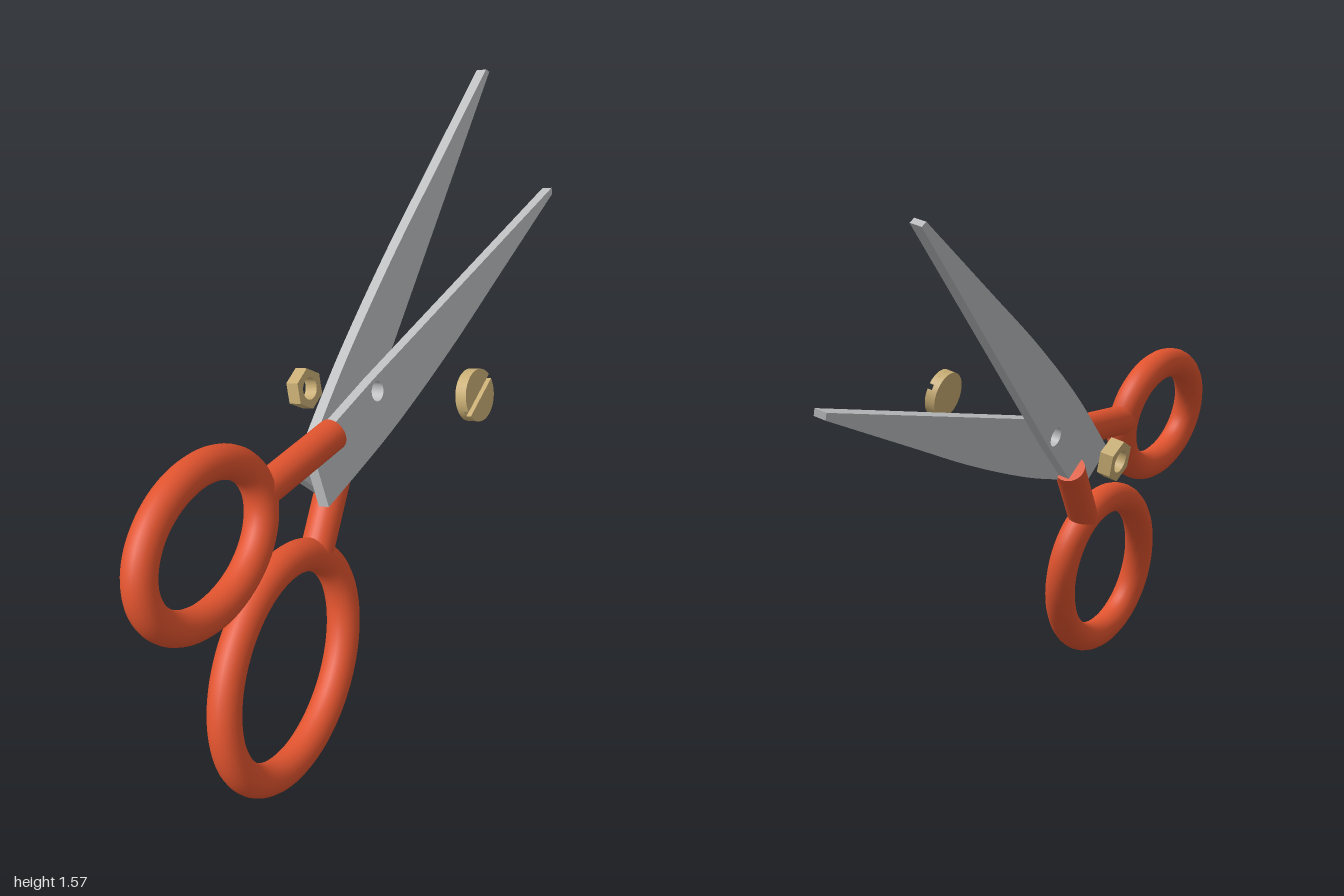
import * as THREE from 'three';

const material = (name, color) => {
  const m = new THREE.MeshStandardMaterial({ color });
  m.name = name;
  return m;
};

export function createModel() {
  const red = material('orangeRed', 0xe0532e);
  const steel = material('steel', 0xbcbec0);
  const brass = material('brass', 0xc8ad74);
  const THICK = 0.037;
  const deg = Math.PI / 180;

  const add = (parent, name, geometry, mat) => {
    const mesh = new THREE.Mesh(geometry, mat);
    mesh.name = name;
    parent.add(mesh);
    return mesh;
  };
  const group = (parent, name) => {
    const g = new THREE.Group();
    g.name = name;
    parent.add(g);
    return g;
  };
  const extrude = (shape, depth, curveSegments = 24) =>
    new THREE.ExtrudeGeometry(shape, { depth, bevelEnabled: false, curveSegments });
  const circleHole = (r) => new THREE.Path().absarc(0, 0, r, 0, Math.PI * 2, true);

  // Flat blade: straight cutting edge above, bowed back below, pivot hole at the origin
  function bladeGeometry() {
    const s = new THREE.Shape();
    s.moveTo(-0.36, 0.045);
    s.lineTo(-0.385, -0.148);
    s.splineThru([[0, -0.147], [0.4, -0.118], [0.8, -0.07], [1.24, -0.016]]
      .map(([x, y]) => new THREE.Vector2(x, y)));
    s.lineTo(1.247, 0.004);
    s.lineTo(0, 0.043);
    s.closePath();
    s.holes.push(circleHole(0.031));
    return extrude(s, THICK);
  }

  // Oval finger ring
  function ringGeometry(a, b) {
    const points = [];
    for (let i = 0; i < 32; i++) {
      const t = (i / 32) * Math.PI * 2;
      points.push(new THREE.Vector3(a * Math.cos(t), b * Math.sin(t), 0));
    }
    return new THREE.TubeGeometry(new THREE.CatmullRomCurve3(points, true), 96, 0.05, 20, true);
  }

  // Round shank between two points
  function shank(parent, from, to) {
    const dir = to.clone().sub(from);
    const mesh = add(parent, 'shank', new THREE.CylinderGeometry(0.05, 0.05, dir.length(), 28), red);
    mesh.position.copy(from).add(to).multiplyScalar(0.5);
    mesh.quaternion.setFromUnitVectors(new THREE.Vector3(0, 1, 0), dir.normalize());
  }

  // One half: blade, shank and finger ring
  function half(parent, name, ring) {
    const g = group(parent, name);
    g.rotation.z = -12.05 * deg;
    add(g, 'blade', bladeGeometry(), steel);
    const mid = THICK / 2;
    shank(g, new THREE.Vector3(-0.238, 0.008, mid), new THREE.Vector3(ring.x + ring.a, 0.066, mid));
    add(g, 'fingerRing', ringGeometry(ring.a, ring.b), red).position.set(ring.x, ring.y, mid);
    return g;
  }

  const model = new THREE.Group();
  model.name = 'scissors';

  // Tilted working frame: x along the scissors, z along the pivot
  const normal = new THREE.Vector3(0.525, 0.262, 0.81).normalize();
  const across = new THREE.Vector3(0, 1, 0).cross(normal).normalize();
  const up = normal.clone().cross(across);
  const tilt = group(model, 'tilt');
  tilt.quaternion.setFromRotationMatrix(new THREE.Matrix4().makeBasis(across, up, normal));
  tilt.position.set(-0.018, 0.891, 0.012);
  const frame = group(tilt, 'workingFrame');
  frame.rotation.z = 21.9 * deg;

  // The second half is the first one turned over
  half(frame, 'frontHalf', { x: -0.869, y: 0.099, a: 0.27, b: 0.192 });
  const turned = group(frame, 'turnedOver');
  turned.rotation.x = Math.PI;
  half(turned, 'backHalf', { x: -0.865, y: 0.12, a: 0.343, b: 0.245 });

  // Slotted screw head, floating in front of the hole
  const screw = group(frame, 'screw');
  screw.position.z = 0.367;
  const R = 0.077;
  const base = add(screw, 'screwBase', new THREE.CylinderGeometry(R, R, 0.02, 32), brass);
  base.rotation.x = Math.PI / 2;
  base.position.z = 0.01;
  const slot = Math.asin(0.009 / R);
  for (const side of [0, 1]) {
    const s = new THREE.Shape().absarc(0, 0, R, slot, Math.PI - slot, false);
    s.closePath();
    const cap = add(screw, 'screwCap', extrude(s, 0.016), brass);
    cap.position.z = 0.02;
    cap.rotation.z = side * Math.PI;
  }

  // Hexagonal nut, floating behind the hole
  const hex = new THREE.Shape();
  for (let i = 0; i < 6; i++) {
    const x = 0.066 * Math.cos(i * 60 * deg), y = 0.066 * Math.sin(i * 60 * deg);
    if (i) hex.lineTo(x, y); else hex.moveTo(x, y);
  }
  hex.closePath();
  hex.holes.push(circleHole(0.035));
  add(frame, 'nut', extrude(hex, 0.044), brass).position.z = -0.266;

  return model;
}
